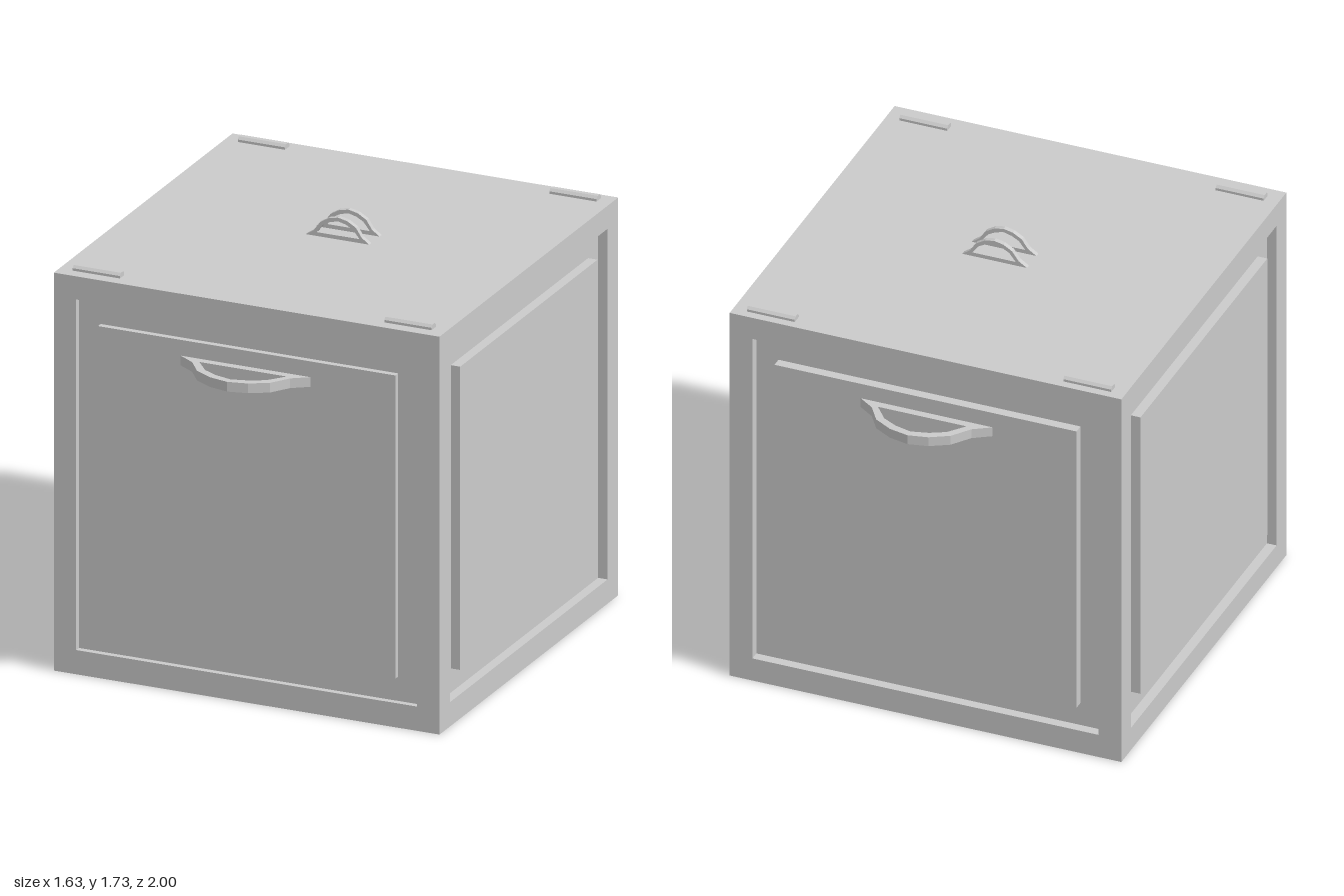
import * as THREE from 'three';

const W = 0.817, D = 0.82, H = 1.64;
const FRONT = 0.025, GROOVE = 0.04;
const material = new THREE.MeshStandardMaterial({ color: 0xcccccc, flatShading: true });

function add(parent, name, geometry, x = 0, y = 0, z = 0) {
  const mesh = new THREE.Mesh(geometry, material);
  mesh.name = name;
  mesh.position.set(x, y, z);
  parent.add(mesh);
  return mesh;
}

const toVectors = (points) => points.map(([x, y]) => new THREE.Vector2(x, y));
const extrude = (shape, depth) => new THREE.ExtrudeGeometry(shape, { depth, bevelEnabled: false });

function rectangle(x0, x1, y0, y1) {
  return toVectors([[x0, y0], [x1, y0], [x1, y1], [x0, y1]]);
}

// Border frame and central panel, separated by a groove; faces +z before turning
function makeSide(name, u0, u1, distance, depth, angle) {
  const side = new THREE.Group();
  side.name = name;
  const border = new THREE.Shape(rectangle(u0, u1, 0, H));
  border.holes.push(new THREE.Path(rectangle(-0.722, 0.722, 0.1, 1.545)));
  add(side, 'borderFrame', extrude(border, depth), 0, 0, distance - depth);
  add(side, 'centralPanel', new THREE.BoxGeometry(1.26, 1.25, depth), 0, 0.825, distance - depth / 2);
  side.rotation.y = angle;
  return side;
}

// Flat faceted arch with a flared foot and a finger hole
function handleGeometry(thickness) {
  const shape = new THREE.Shape(toVectors([
    [-0.28, 0], [0.27, 0], [0.205, 0.045], [0.155, 0.12], [0.08, 0.163], [0, 0.18],
    [-0.08, 0.163], [-0.155, 0.12], [-0.21, 0.045],
  ]));
  shape.holes.push(new THREE.Path(toVectors([
    [-0.185, 0.032], [0.185, 0.032], [0.13, 0.1], [0.07, 0.132], [0, 0.15],
    [-0.07, 0.132], [-0.13, 0.1],
  ])));
  return extrude(shape, thickness);
}

export function createModel() {
  const crate = new THREE.Group();
  crate.name = 'crate';

  // Core forms the groove floors, the lid surface and the base
  const zBack = -D + GROOVE, zFront = D - FRONT;
  add(crate, 'core', new THREE.BoxGeometry(2 * (W - GROOVE), H, zFront - zBack),
    0, H / 2, (zFront + zBack) / 2);

  // Four panelled sides
  crate.add(
    makeSide('frontSide', -W, W, D, FRONT, 0),
    makeSide('backSide', -W, W, D, GROOVE, Math.PI),
    makeSide('leftSide', -zFront, -zBack, W, GROOVE, Math.PI / 2),
    makeSide('rightSide', zBack, zFront, W, GROOVE, -Math.PI / 2),
  );

  // Carrying handles lying flat on front and back
  const carry = handleGeometry(0.04);
  add(crate, 'frontHandle', carry, 0, 1.385, D).rotation.x = Math.PI / 2;
  add(crate, 'backHandle', carry, 0, 1.345, -D).rotation.x = -Math.PI / 2;

  // Pair of small upright handles on the lid
  for (const z of [-0.075, 0.02]) {
    add(crate, 'lidHandle', handleGeometry(0.02), 0.027, H, z).scale.set(0.49, 0.5, 1);
  }

  // Chamfered stacking rails at the lid corners
  const profile = new THREE.Shape(toVectors([
    [-0.02, 0], [0.02, 0], [0.02, 0.01], [0.01, 0.02], [-0.01, 0.02], [-0.02, 0.01],
  ]));
  const rail = extrude(profile, 0.2);
  rail.translate(0, 0, -0.1);
  rail.rotateY(Math.PI / 2);
  for (const x of [-0.66, 0.66]) {
    for (const z of [-0.765, 0.75]) add(crate, 'lidRail', rail, x, H, z);
  }
  return crate;
}
